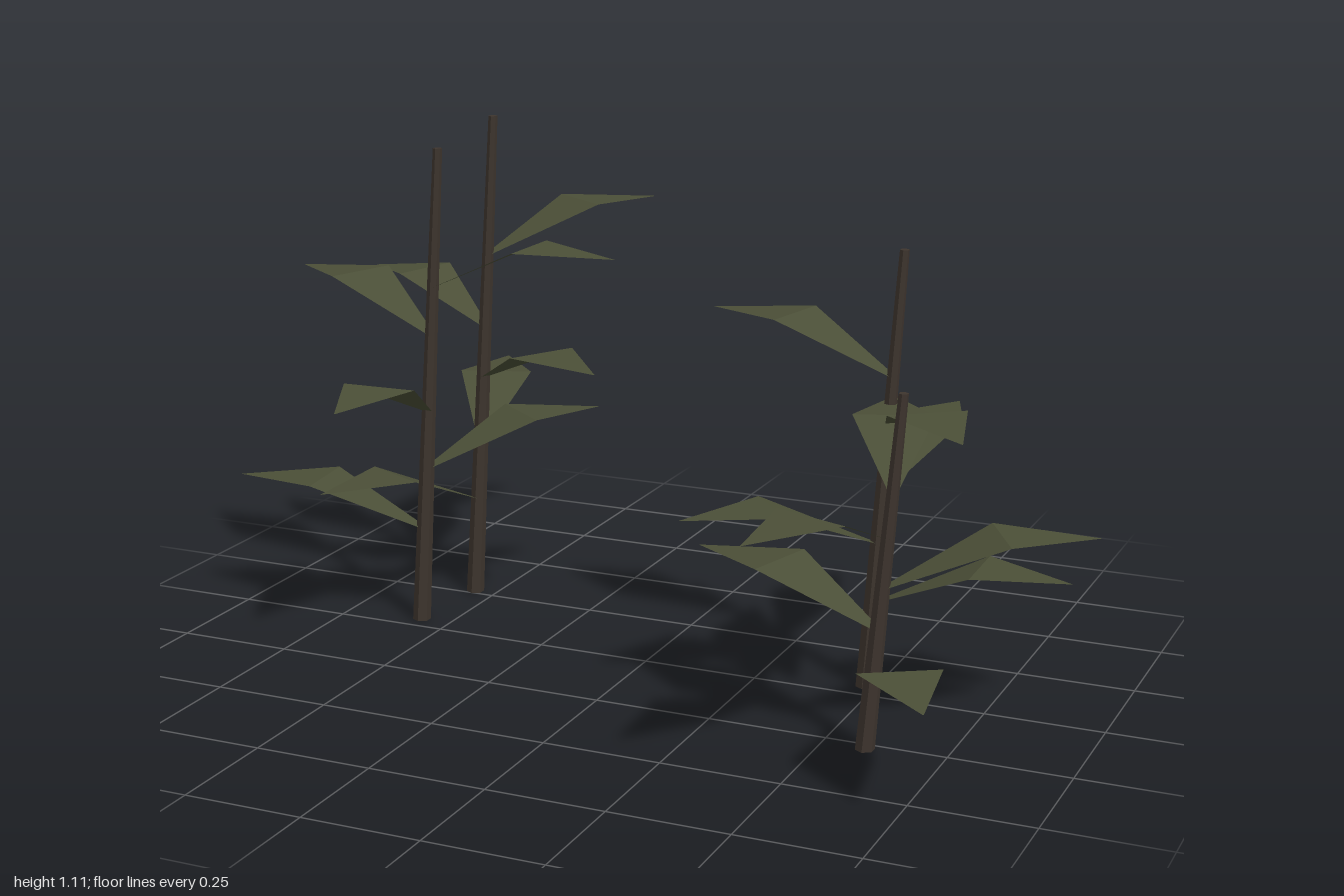
import * as THREE from 'three';

const leafMat = new THREE.MeshStandardMaterial({ color: 0x4b4f37, side: THREE.DoubleSide, flatShading: true });
leafMat.name = 'dull olive leaf';
const stalkMat = new THREE.MeshStandardMaterial({ color: 0x3e352e, flatShading: true });
stalkMat.name = 'dark brown stalk';

// Each stalk: base x, z, height, lean in x at the top,
// and leaves as [tip x, tip z, root height, bend height]
const PLANTS = [
  { name: 'tallPlant', x: -0.551, z: -0.266, h: 1.112, lean: 0.065, leaves: [
    [-0.67, -0.685, 0.37, 0.47], [-0.254, -0.63, 0.8, 0.903], [-0.147, -0.06, 0.515, 0.615],
    [-0.84, -0.35, 0.635, 0.745], [-0.73, 0.11, 0.225, 0.325]] },
  { name: 'middlePlant', x: -0.571, z: -0.045, h: 1.07, lean: 0.065, leaves: [
    [-0.525, 0.38, 0.485, 0.595], [-0.09, -0.04, 0.765, 0.873], [-0.997, 0.01, 0.215, 0.315],
    [-0.93, -0.18, 0.66, 0.77], [-0.286, -0.38, 0.355, 0.455]] },
  { name: 'leftPlant', x: 0.478, z: -0.05, h: 0.932, lean: 0.062, leaves: [
    [0.535, -0.48, 0.43, 0.53], [0.905, -0.06, 0.185, 0.29], [0.1, -0.13, 0.67, 0.773],
    [0.174, 0.23, 0.315, 0.413], [0.77, 0.285, 0.55, 0.652]] },
  { name: 'shortPlant', x: 0.59, z: 0.275, h: 0.725, lean: 0.06, leaves: [
    [0.99, 0.07, 0.335, 0.435], [0.815, 0.627, 0.152, 0.247], [0.48, 0.67, 0.435, 0.53],
    [0.19, 0.16, 0.25, 0.345], [0.5, -0.13, 0.53, 0.62]] },
];

// Thin tapered stalk, sheared so that its foot stays flat on the ground
function makeStalk({ x, z, h, lean }) {
  const g = new THREE.CylinderGeometry(0.01, 0.02, h, 6);
  g.translate(0, h / 2, 0);
  const p = g.attributes.position;
  for (let i = 0; i < p.count; i++) p.setX(i, p.getX(i) + lean * p.getY(i) / h);
  g.translate(x, 0, z);
  const m = new THREE.Mesh(g, stalkMat);
  m.name = 'stalk';
  return m;
}

// Kite-shaped blade: rises to its widest point, then runs almost level to the tip
function makeLeaf(root, tip, bendY) {
  const along = new THREE.Vector3(tip.x - root.x, 0, tip.z - root.z);
  const side = new THREE.Vector3(along.z, 0, -along.x).normalize();
  const sections = [[0, root.y, 0.009], [0.54, bendY, 0.083], [1, tip.y, 0.001]];
  const pos = [], idx = [];
  for (const [t, y, w] of sections) {
    for (const s of [-1, 0, 1]) {
      pos.push(root.x + along.x * t + side.x * w * s, y, root.z + along.z * t + side.z * w * s);
    }
  }
  for (let r = 0; r < 2; r++) {
    for (let c = 0; c < 2; c++) {
      const a = r * 3 + c;
      idx.push(a, a + 1, a + 4, a, a + 4, a + 3);
    }
  }
  const g = new THREE.BufferGeometry();
  g.setAttribute('position', new THREE.Float32BufferAttribute(pos, 3));
  // wind so that the upper side is the front
  const up = new THREE.Vector3().crossVectors(side, along).y;
  if (up < 0) idx.reverse();
  g.setIndex(idx);
  g.computeVertexNormals();
  const m = new THREE.Mesh(g, leafMat);
  m.name = 'leaf';
  return m;
}

export function createModel() {
  const model = new THREE.Group();
  model.name = 'leafyStalks';
  for (const plant of PLANTS) {
    const group = new THREE.Group();
    group.name = plant.name;
    group.add(makeStalk(plant));
    for (const [tx, tz, rootY, bendY] of plant.leaves) {
      const root = new THREE.Vector3(plant.x + plant.lean * rootY / plant.h, rootY, plant.z);
      group.add(makeLeaf(root, new THREE.Vector3(tx, bendY - 0.011, tz), bendY));
    }
    model.add(group);
  }
  return model;
}
